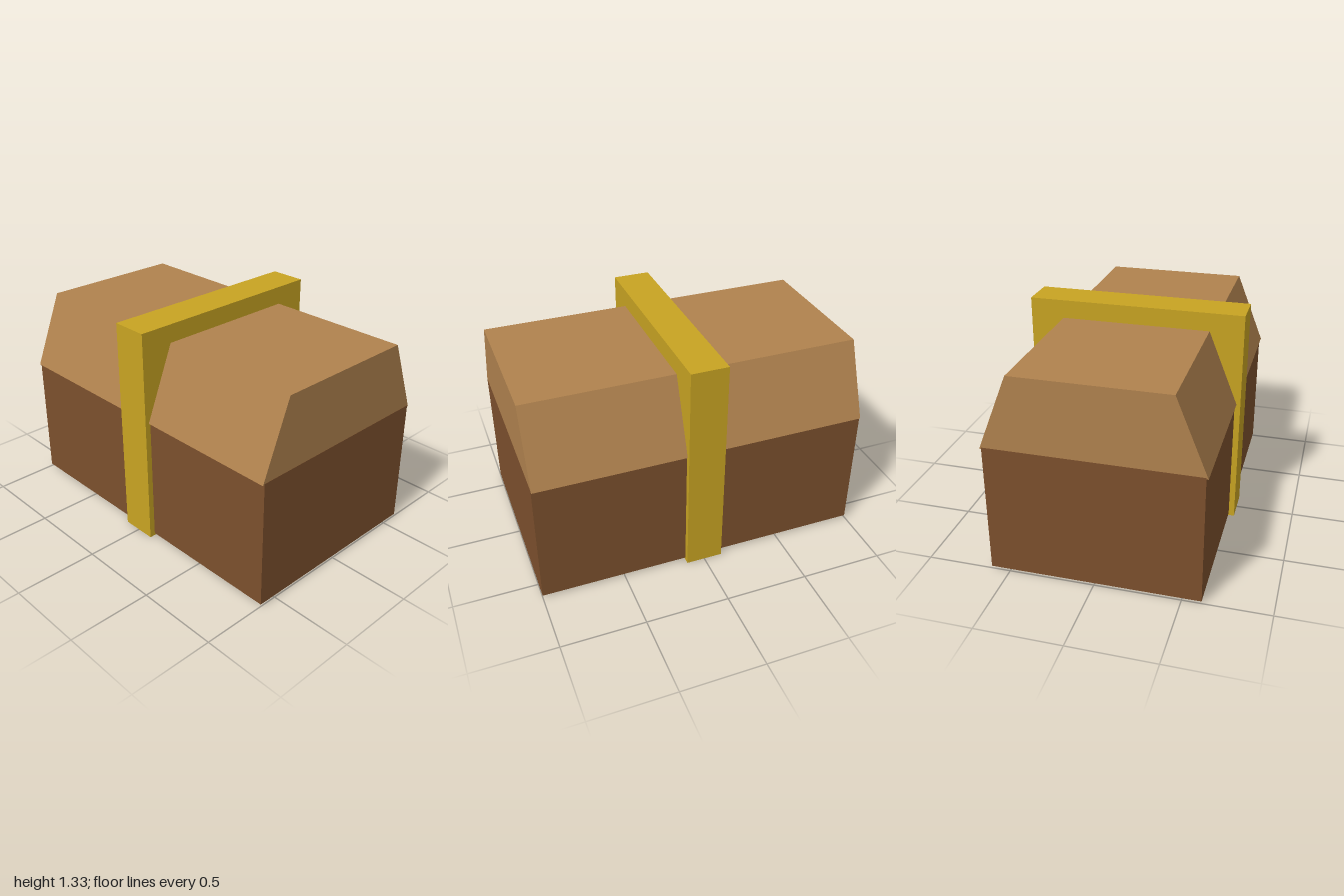
import * as THREE from 'three';

export function createModel() {
  const group = new THREE.Group();
  const material = (name, color) => new THREE.MeshStandardMaterial({ name, color, flatShading: true });
  const darkWood = material('darkWood', 0x7c502d);
  const lightWood = material('lightWood', 0xb0824e);
  const gold = material('gold', 0xc8a422);

  const add = (name, geometry, mat, y) => {
    const mesh = new THREE.Mesh(geometry, mat);
    mesh.name = name;
    mesh.position.y = y;
    group.add(mesh);
  };

  // Chest body, raised slightly by the band beneath it
  add('body', new THREE.BoxGeometry(2, 0.773, 1.222), darkWood, 0.014 + 0.773 / 2);

  // Lid: a box whose top edges are drawn in at front and back
  const lid = new THREE.BoxGeometry(1.998, 0.445, 1.244);
  const pos = lid.attributes.position;
  for (let i = 0; i < pos.count; i++) {
    if (pos.getY(i) > 0) pos.setZ(i, Math.sign(pos.getZ(i)) * 0.444);
  }
  lid.computeVertexNormals();
  add('lid', lid, lightWood, 0.779 + 0.445 / 2);

  // Metal band around the middle
  add('band', new THREE.BoxGeometry(0.222, 1.334, 1.29), gold, 0.667);

  return group;
}
